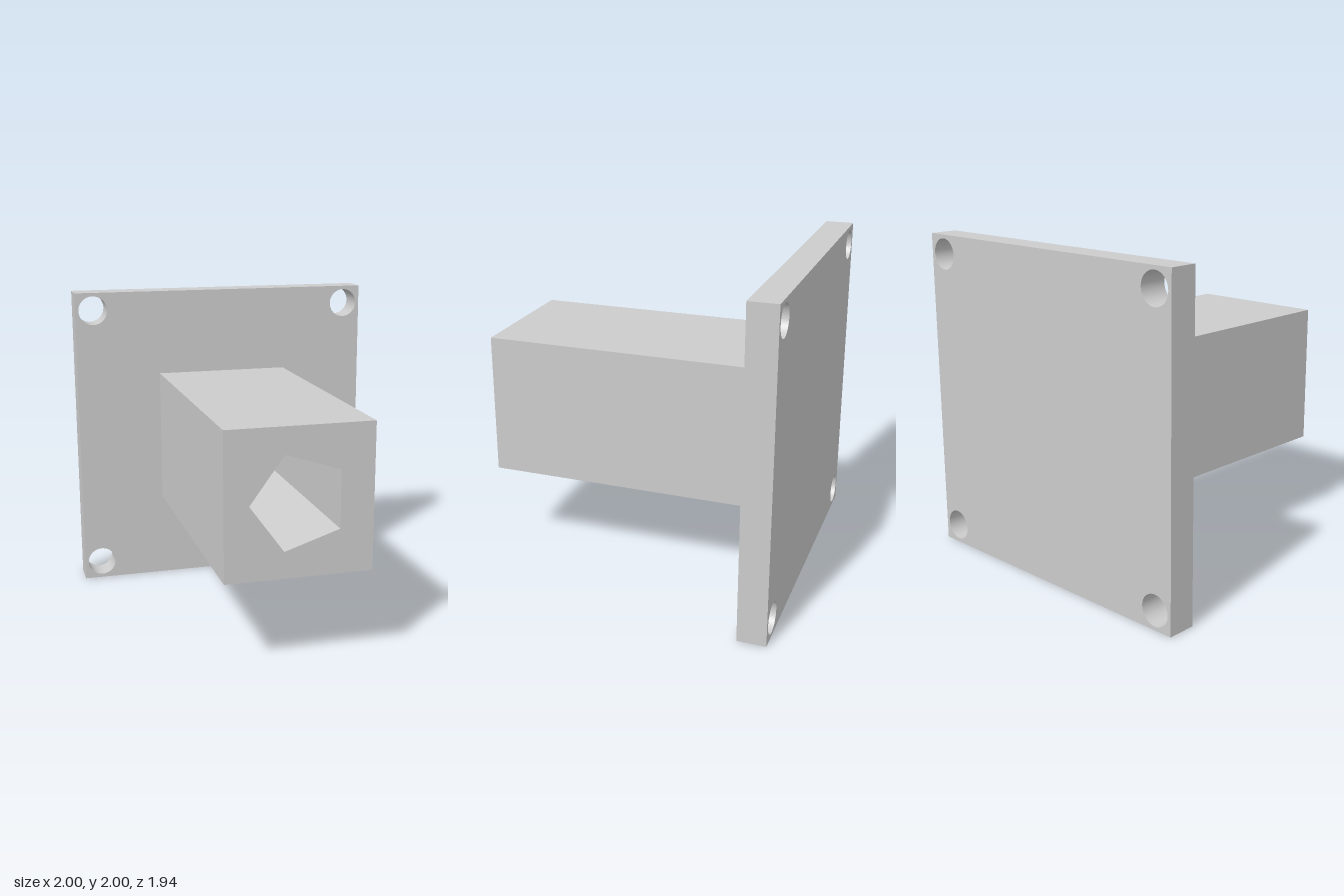
import * as THREE from 'three';

const BACK = -0.97, PLATE_FRONT = -0.795, FRONT = 0.97;

// Square outline centred on the origin
function square(half) {
  return new THREE.Shape([
    new THREE.Vector2(-half, -half), new THREE.Vector2(half, -half),
    new THREE.Vector2(half, half), new THREE.Vector2(-half, half),
  ]);
}

// Extrudes a shape between two z positions, centred at y = 1
function slab(name, shape, z0, z1, material) {
  const geometry = new THREE.ExtrudeGeometry(shape, { depth: z1 - z0, bevelEnabled: false, curveSegments: 40 });
  const mesh = new THREE.Mesh(geometry, material);
  mesh.name = name;
  mesh.position.set(0, 1, z0);
  return mesh;
}

export function createModel() {
  const group = new THREE.Group();
  group.name = 'mountingPost';
  const material = new THREE.MeshStandardMaterial({ color: 0xcccccc });

  // Base plate with a round bolt hole in each corner
  const plate = square(1);
  for (const x of [-0.882, 0.882]) {
    for (const y of [-0.882, 0.882]) {
      plate.holes.push(new THREE.Path().absarc(x, y, 0.095, 0, Math.PI * 2, true));
    }
  }
  group.add(slab('basePlate', plate, BACK, PLATE_FRONT, material));

  // Square post with a five-sided socket, closed at the back by the plate
  const post = square(0.44);
  const corners = [];
  for (let i = 0; i < 5; i++) {
    const a = Math.PI - (i * Math.PI * 2) / 5;
    corners.push(new THREE.Vector2(0.295 * Math.cos(a), 0.295 * Math.sin(a)));
  }
  post.holes.push(new THREE.Path(corners));
  group.add(slab('socketPost', post, PLATE_FRONT, FRONT, material));

  return group;
}
